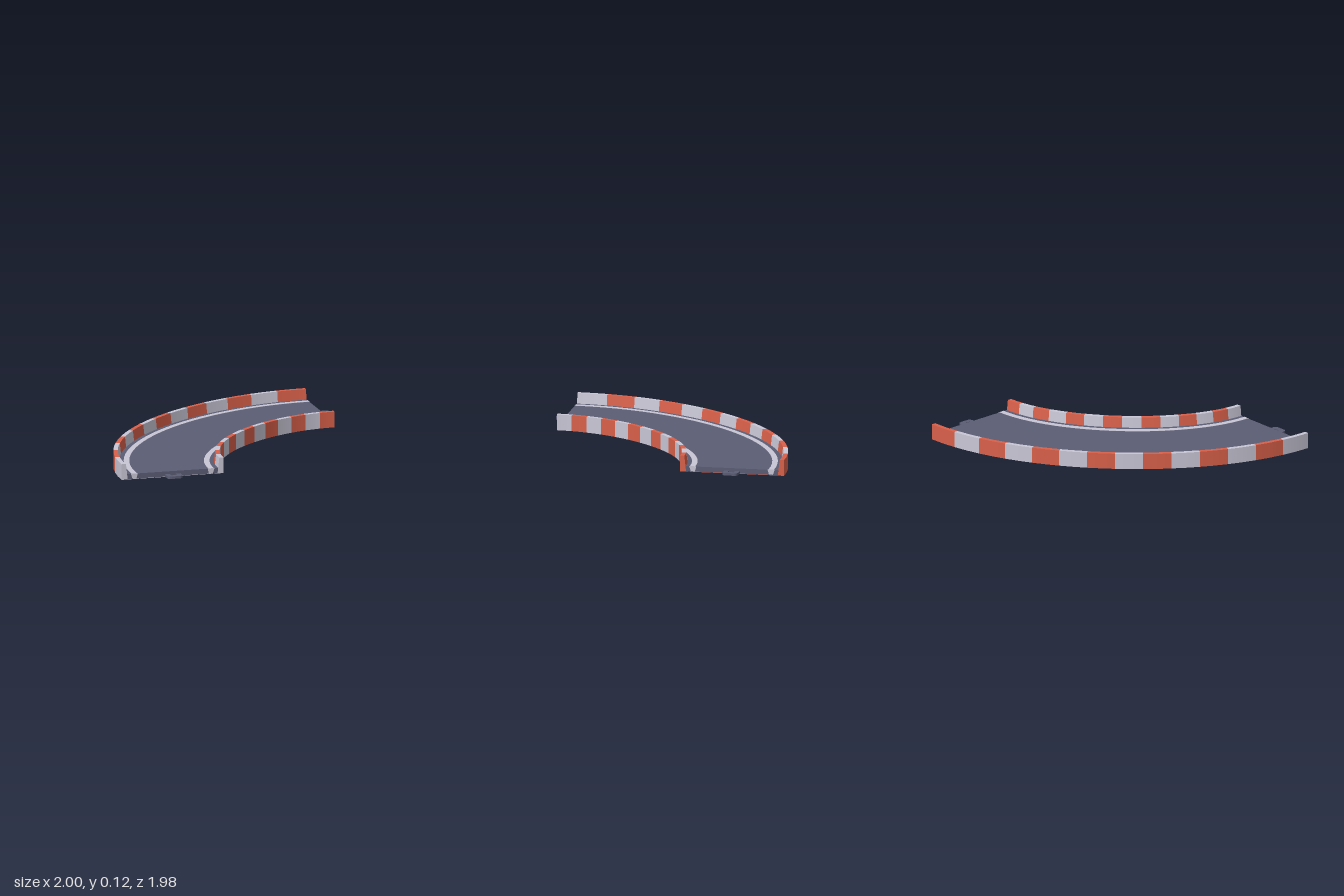
import * as THREE from 'three';

const STRIPES = 14;
const STEPS = 2; // cross-sections per stripe

const material = (name, color, extra = {}) =>
  Object.assign(new THREE.MeshStandardMaterial({ color, ...extra }), { name });

// Centre line of the bend, in (x, z)
const centre = new THREE.CubicBezierCurve(
  new THREE.Vector2(-0.62, 0.905), new THREE.Vector2(-0.62, 0.165),
  new THREE.Vector2(0.18, -0.61), new THREE.Vector2(0.92, -0.61));

// Position, outward direction and tangent at a share u of the length
function frameAt(u) {
  const p = centre.getPointAt(u);
  const t = centre.getTangentAt(u);
  return {
    point: (o, y) => [p.x + t.y * o, y, p.y - t.x * o],
    dir: (o, y) => [t.y * o, y, -t.x * o],
    tangent: [t.x, 0, t.y],
  };
}

// Sweep a counter-clockwise profile of [outward offset, height] along the bend
function sweep(profile, u0, u1, steps) {
  const pos = [], nor = [];
  const put = (p, n) => { pos.push(...p); nor.push(...n); };
  const frames = [];
  for (let i = 0; i <= steps; i++) frames.push(frameAt(u0 + (u1 - u0) * i / steps));
  profile.forEach((a, k) => {
    const b = profile[(k + 1) % profile.length];
    const len = Math.hypot(b[0] - a[0], b[1] - a[1]);
    const n = [(b[1] - a[1]) / len, (a[0] - b[0]) / len];
    for (let i = 0; i < steps; i++) {
      const f = frames[i], g = frames[i + 1];
      [[f, a], [f, b], [g, b], [f, a], [g, b], [g, a]]
        .forEach(([fr, q]) => put(fr.point(...q), fr.dir(...n)));
    }
  });
  // Caps at the two ends of the bend only
  const tris = THREE.ShapeUtils.triangulateShape(profile.map(q => new THREE.Vector2(...q)), []);
  const cap = (f, sign) => tris.forEach(tri => {
    const order = sign > 0 ? tri : [...tri].reverse();
    order.forEach(i => put(f.point(...profile[i]), f.tangent.map(v => v * sign)));
  });
  if (u0 === 0) cap(frames[0], -1);
  if (u1 === 1) cap(frames[steps], 1);
  const geo = new THREE.BufferGeometry();
  geo.setAttribute('position', new THREE.Float32BufferAttribute(pos, 3));
  geo.setAttribute('normal', new THREE.Float32BufferAttribute(nor, 3));
  return geo;
}

export function createModel() {
  const white = material('barrier white', 0xc9c7d6);
  const red = material('barrier red', 0xd9604a);
  const asphalt = material('asphalt', 0x5b5d75);
  const model = new THREE.Group();
  model.name = 'curvedTrack';
  const add = (parent, name, geo, mat) => {
    const mesh = new THREE.Mesh(geo, mat);
    mesh.name = name;
    parent.add(mesh);
    return mesh;
  };

  // Striped channel: both barriers and the underside
  const channel = [
    [-0.38, 0], [0.38, 0], [0.38, 0.115], [0.348, 0.115],
    [0.335, 0.003], [-0.335, 0.003], [-0.348, 0.115], [-0.38, 0.115],
  ];
  const barriers = new THREE.Group();
  barriers.name = 'barriers';
  model.add(barriers);
  for (let i = 0; i < STRIPES; i++) {
    add(barriers, 'barrierStripe', sweep(channel, i / STRIPES, (i + 1) / STRIPES, STEPS),
      i % 2 ? red : white);
  }

  // Road bed lying in the channel
  add(model, 'road', sweep(
    [[-0.335, 0.003], [0.335, 0.003], [0.339, 0.04], [-0.339, 0.04]],
    0, 1, STRIPES * STEPS), asphalt);

  // Painted edge lines
  for (const [a, b] of [[0.266, 0.306], [-0.308, -0.268]]) {
    add(model, 'edgeLine', sweep([[a, 0.039], [b, 0.039], [b, 0.042], [a, 0.042]],
      0, 1, STRIPES * STEPS), white);
  }

  // Connector loop and painted line ends at both ends of the road
  const loop = new THREE.Shape();
  loop.moveTo(-0.057, -0.01);
  loop.lineTo(-0.022, -0.01);
  loop.lineTo(-0.022, 0.044);
  loop.lineTo(0.022, 0.044);
  loop.lineTo(0.022, -0.01);
  loop.lineTo(0.057, -0.01);
  loop.lineTo(0.057, 0.05);
  loop.quadraticCurveTo(0.055, 0.08, 0.03, 0.08);
  loop.lineTo(-0.03, 0.08);
  loop.quadraticCurveTo(-0.055, 0.08, -0.057, 0.05);
  const loopGeo = new THREE.ExtrudeGeometry(loop, { depth: 0.018, bevelEnabled: false, curveSegments: 4 });
  loopGeo.rotateX(Math.PI / 2).translate(0, 0.02, 0);

  for (const [x, z, turn] of [[-0.62, 0.905, 0], [0.92, -0.61, Math.PI / 2]]) {
    const end = new THREE.Group();
    end.name = 'trackEnd';
    end.position.set(x, 0, z);
    end.rotation.y = turn;
    add(end, 'connectorLoop', loopGeo, asphalt);
    for (const s of [-1, 1]) {
      const tab = new THREE.Shape([[0.27, 0.005], [0.3, 0.005], [0.312, 0.042], [0.26, 0.042]]
        .map(([px, py]) => new THREE.Vector2(px * s, py)));
      add(end, 'lineEnd', new THREE.ExtrudeGeometry(tab, { depth: 0.002, bevelEnabled: false }), white);
    }
    model.add(end);
  }
  return model;
}
